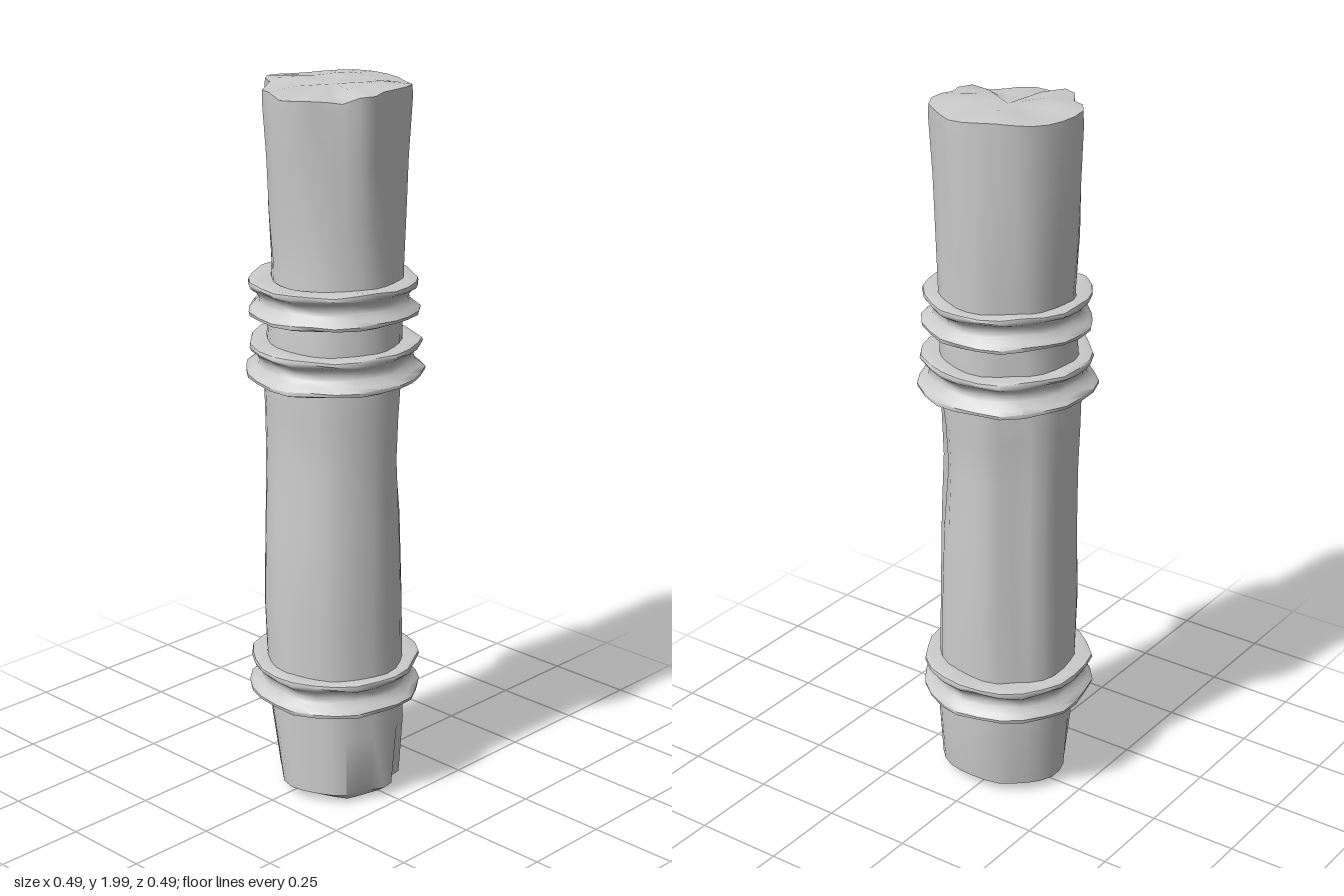
import * as THREE from 'three';
import { toCreasedNormals } from 'three/addons/utils/BufferGeometryUtils.js';

const material = new THREE.MeshStandardMaterial({ color: 0xcccccc, side: THREE.DoubleSide });

// Turn a profile around y, move every vertex by a rule (ring, angle, point), then shade it.
function turned(name, profile, sides, rule, crease) {
  const points = profile.map(([r, y]) => new THREE.Vector2(r, y));
  const geo = new THREE.LatheGeometry(points, sides);
  const pos = geo.attributes.position;
  const p = new THREE.Vector3();
  for (let k = 0; k < pos.count; k++) {
    const ring = k % points.length;
    const step = Math.floor(k / points.length) % sides;
    p.fromBufferAttribute(pos, k);
    rule(p, ring, (step / sides) * Math.PI * 2);
    pos.setXYZ(k, p.x, p.y, p.z);
  }
  // Shaded at a large scale so that close corners are not merged
  geo.scale(100, 100, 100);
  const shaded = toCreasedNormals(geo, crease);
  shaded.scale(0.01, 0.01, 0.01);
  const mesh = new THREE.Mesh(shaded, material);
  mesh.name = name;
  return mesh;
}

// Log cross-sections: height, min x, max x, min z, max z
const sections = [
  [0.012, -0.01, -0.01, 0.01, 0.01],
  [0.010, -0.15, 0.12, -0.14, 0.18],
  [0.035, -0.185, 0.155, -0.172, 0.205],
  [0.20, -0.19, 0.176, -0.188, 0.207],
  [0.32, -0.19, 0.178, -0.19, 0.202],
  [0.55, -0.197, 0.18, -0.19, 0.198],
  [0.80, -0.188, 0.177, -0.188, 0.195],
  [0.98, -0.178, 0.166, -0.19, 0.192],
  [1.10, -0.178, 0.168, -0.195, 0.197],
  [1.20, -0.185, 0.178, -0.196, 0.2],
  [1.35, -0.18, 0.172, -0.182, 0.192],
  [1.50, -0.167, 0.176, -0.183, 0.186],
  [1.65, -0.178, 0.187, -0.195, 0.186],
  [1.80, -0.188, 0.188, -0.197, 0.192],
  [1.95, -0.203, 0.196, -0.2, 0.2],
  [1.99, -0.203, 0.196, -0.198, 0.198],
  [1.998, -0.12, 0.11, -0.11, 0.11],
  [1.985, 0, 0, 0, 0],
];

// Worn grooves and chips: angle from front, height, angular width, half length, depth
const dents = [
  [0.05, 1.96, 0.16, 0.3, 0.02],
  [-0.95, 1.95, 0.32, 0.25, 0.025],
  [-2.4, 1.9, 0.25, 0.3, 0.03],
  [0.75, 1.0, 0.18, 0.22, 0.025],
  [2.3, 0.8, 0.16, 0.55, 0.02],
  [1.0, 1.75, 0.15, 0.3, 0.02],
  [0.4, 0.05, 0.15, 0.17, 0.025],
  [-0.35, 0.05, 0.2, 0.15, 0.015],
  [-2.3, 0.02, 0.4, 0.2, 0.03],
];

function shapeLog(p, ring, a) {
  const [y, x0, x1, z0, z1] = sections[ring];
  const pole = ring === 0 || ring === sections.length - 1;
  let scale = 1 + 0.018 * Math.sin(3 * a + y * 2.5) + 0.014 * Math.sin(7 * a + y * 1.7);
  for (const [angle, h, width, length, depth] of dents) {
    const da = Math.atan2(Math.sin(a - angle), Math.cos(a - angle));
    scale -= (depth / 0.19) * Math.exp(-((da / width) ** 2) - ((y - h) / length) ** 2);
  }
  p.x = (x0 + x1) / 2 + Math.sin(a) * scale * (x1 - x0) / 2;
  p.z = (z0 + z1) / 2 + Math.cos(a) * scale * (z1 - z0) / 2;
  p.y = y;
  if (pole) return;
  // Uneven lower edge, and a split-off front corner at the top
  if (ring === 1) p.y += 0.008 * (1 + Math.sin(3 * a));
  if (ring >= 15) p.y += 0.004 * Math.sin(4 * a) - 0.004 - (Math.sin(a) < -0.55 && Math.cos(a) > -0.1 ? 0.018 : 0);
}

// Binding rings: two rounded ridges with a groove between
// Profile as radius offset and fraction of the height
const bandProfile = [
  [-0.06, 0.03], [-0.008, 0], [0.004, 0.04], [0.006, 0.14], [-0.006, 0.26], [-0.022, 0.4],
  [-0.025, 0.55], [-0.018, 0.7], [-0.003, 0.8], [0.002, 0.88], [0, 0.97], [-0.012, 1], [-0.06, 0.97],
];

// Bottom, top, centre x, centre z, lower radius, upper radius
const bands = [
  ['lowerBand', 0.285, 0.385, 0, 0, 0.232, 0.232],
  ['middleBand', 1.208, 1.306, -0.008, 0.006, 0.236, 0.228],
  ['upperBand', 1.382, 1.478, -0.013, 0.008, 0.222, 0.224],
];

function createBand([name, bottom, top, cx, cz, low, high], index) {
  const profile = bandProfile.map(([d, t]) => [low + (high - low) * t + d, bottom + (top - bottom) * t]);
  return turned(name, profile, 24, (p, ring, a) => {
    const edge = ring > 0 && ring < bandProfile.length - 1 ? 1 : 0;
    const wobble = 1 + edge * (0.014 * Math.sin(5 * a + index * 2 + ring * 0.25) + 0.012 * Math.sin(9 * a + index));
    p.x = p.x * wobble + cx;
    p.z = p.z * wobble + cz;
    p.y += 0.003 * Math.sin(2 * a + index) + 0.002 * edge * Math.sin(7 * a + ring);
  }, 0.9);
}

export function createModel() {
  const model = new THREE.Group();
  model.name = 'bandedLog';
  model.add(turned('log', sections.map((s) => [0.2, s[0]]), 28, shapeLog, 0.8));
  bands.forEach((band, i) => model.add(createBand(band, i)));
  return model;
}
